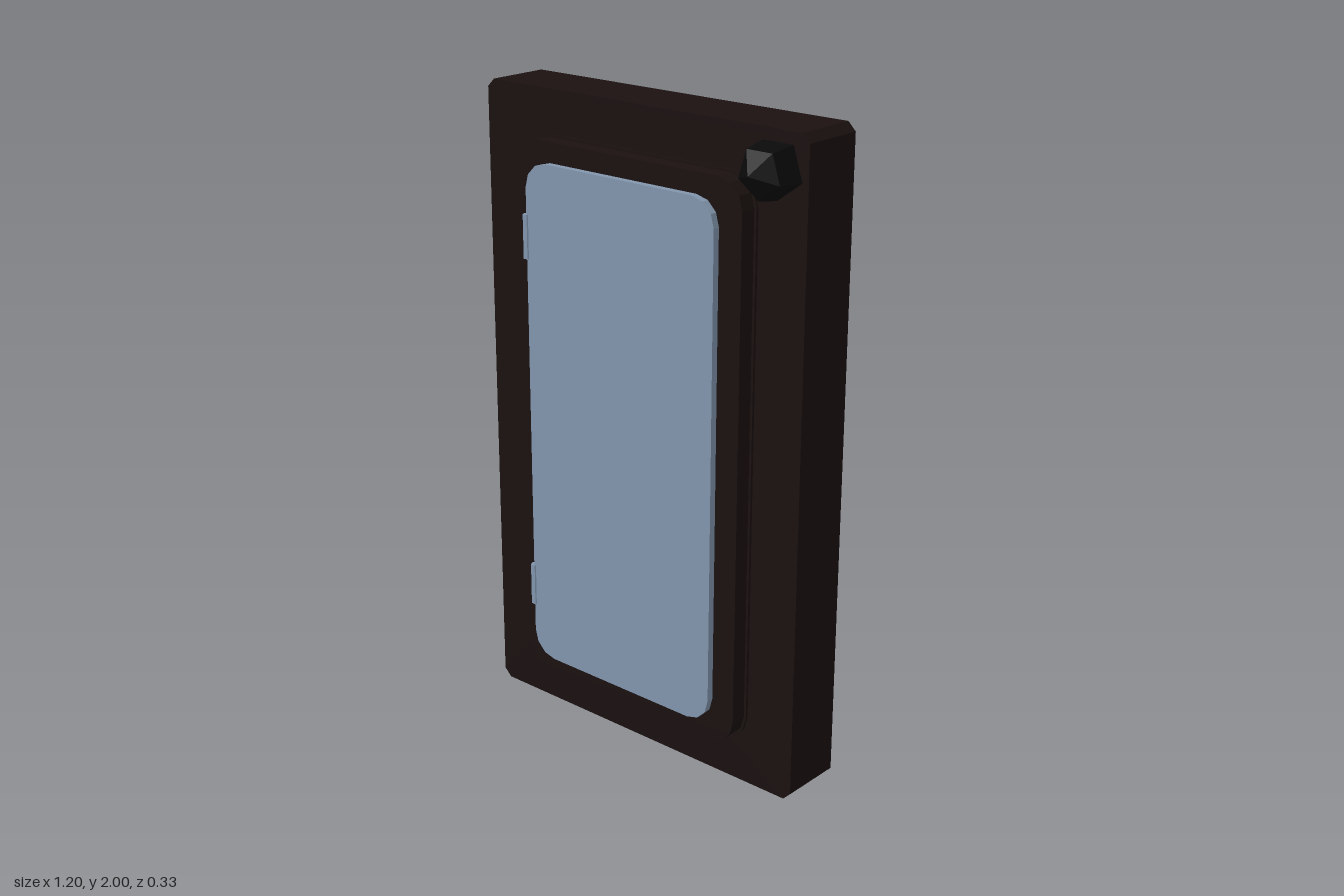
import * as THREE from 'three';

const dark = new THREE.MeshStandardMaterial({ color: 0x1a1110, flatShading: true });
const steel = new THREE.MeshStandardMaterial({ color: 0x8296ad, flatShading: true });
const black = new THREE.MeshStandardMaterial({ color: 0x0a0a0a, flatShading: true });

// Points of a rectangle with cut corners; n = segments per corner
function outline(x0, x1, y0, y1, r, n) {
  const pts = [];
  const corners = [[x1 - r, y1 - r], [x0 + r, y1 - r], [x0 + r, y0 + r], [x1 - r, y0 + r]];
  corners.forEach(([cx, cy], k) => {
    for (let i = 0; i <= n; i++) {
      const a = (k + i / n) * Math.PI / 2;
      pts.push(new THREE.Vector2(cx + r * Math.cos(a), cy + r * Math.sin(a)));
    }
  });
  return pts;
}

// Extruded plate between z0 and z1, with an optional hole
function plate(name, pts, z0, z1, material, hole) {
  const shape = new THREE.Shape(pts);
  if (hole) shape.holes.push(new THREE.Path(hole));
  const geo = new THREE.ExtrudeGeometry(shape, { depth: z1 - z0, bevelEnabled: false });
  geo.translate(0, 0, z0);
  const mesh = new THREE.Mesh(geo, material);
  mesh.name = name;
  return mesh;
}

export function createModel() {
  const model = new THREE.Group();
  model.name = 'wallPanel';

  // Hollow outer frame, open at the back
  const outer = outline(-0.6, 0.6, 0, 2, 0.025, 1);
  const inner = outline(-0.59, 0.59, 0.01, 1.99, 0.022, 1);
  const opening = outline(-0.42, 0.42, 0.145, 1.855, 0.08, 3);
  model.add(plate('frameWalls', outer, -0.165, 0.03, dark, inner));
  model.add(plate('frameFront', outer, 0.03, 0.036, dark, opening));

  // Raised centre box with a small foot where it meets the frame
  const raised = outline(-0.426, 0.426, 0.14, 1.86, 0.085, 3);
  const foot = outline(-0.434, 0.434, 0.132, 1.868, 0.09, 3);
  model.add(plate('raisedFoot', foot, 0.036, 0.044, dark, opening));
  model.add(plate('raisedWalls', raised, 0.044, 0.09, dark, opening));
  model.add(plate('raisedFront', raised, 0.09, 0.096, dark));

  // Inner block carrying two contact strips on the back
  model.add(plate('innerBlock', outline(-0.34, 0.34, 0.24, 1.76, 0.08, 3), 0.026, 0.09, dark));
  for (const x of [-0.16, 0.16]) {
    model.add(plate('contactStrip', outline(x - 0.115, x + 0.115, 0.345, 1.655, 0.004, 1), 0.02, 0.026, dark));
    for (let i = 0; i < 9; i++) {
      const y = 1 + (i - 4) * 0.146;
      const slot = outline(x - 0.019, x + 0.019, y - 0.046, y + 0.046, 0.014, 2);
      const core = outline(x - 0.011, x + 0.011, y - 0.036, y + 0.036, 0.008, 2);
      model.add(plate('contactRing', slot, 0.012, 0.022, steel, core));
      model.add(plate('contactTip', core, 0.092, 0.101, dark));
    }
  }

  // Door leaf
  model.add(plate('door', outline(-0.365, 0.35, 0.2, 1.8, 0.08, 3), 0.1, 0.122, steel));

  // Hinges on the door's edge, with leaves let through the raised front
  for (const y of [0.437, 1.57]) {
    const hinge = new THREE.Mesh(new THREE.CylinderGeometry(0.016, 0.016, 0.135, 6), steel);
    hinge.name = 'hinge';
    hinge.position.set(-0.368, y, 0.112);
    hinge.rotation.y = Math.PI / 6;
    const leaf = new THREE.Mesh(new THREE.BoxGeometry(0.012, 0.135, 0.022), steel);
    leaf.name = 'hingeLeaf';
    leaf.position.set(-0.362, y, 0.098);
    model.add(hinge, leaf);
  }

  // Five-sided pointed knob, one corner down
  const knobProfile = [[0.0, 0.036], [0.088, 0.036], [0.074, 0.115], [0, 0.163]]
    .map(([r, h]) => new THREE.Vector2(r, h));
  const knob = new THREE.Mesh(new THREE.LatheGeometry(knobProfile, 5), black);
  knob.name = 'knob';
  knob.rotation.x = Math.PI / 2;
  knob.position.set(0.495, 1.893, 0);
  model.add(knob);

  return model;
}
